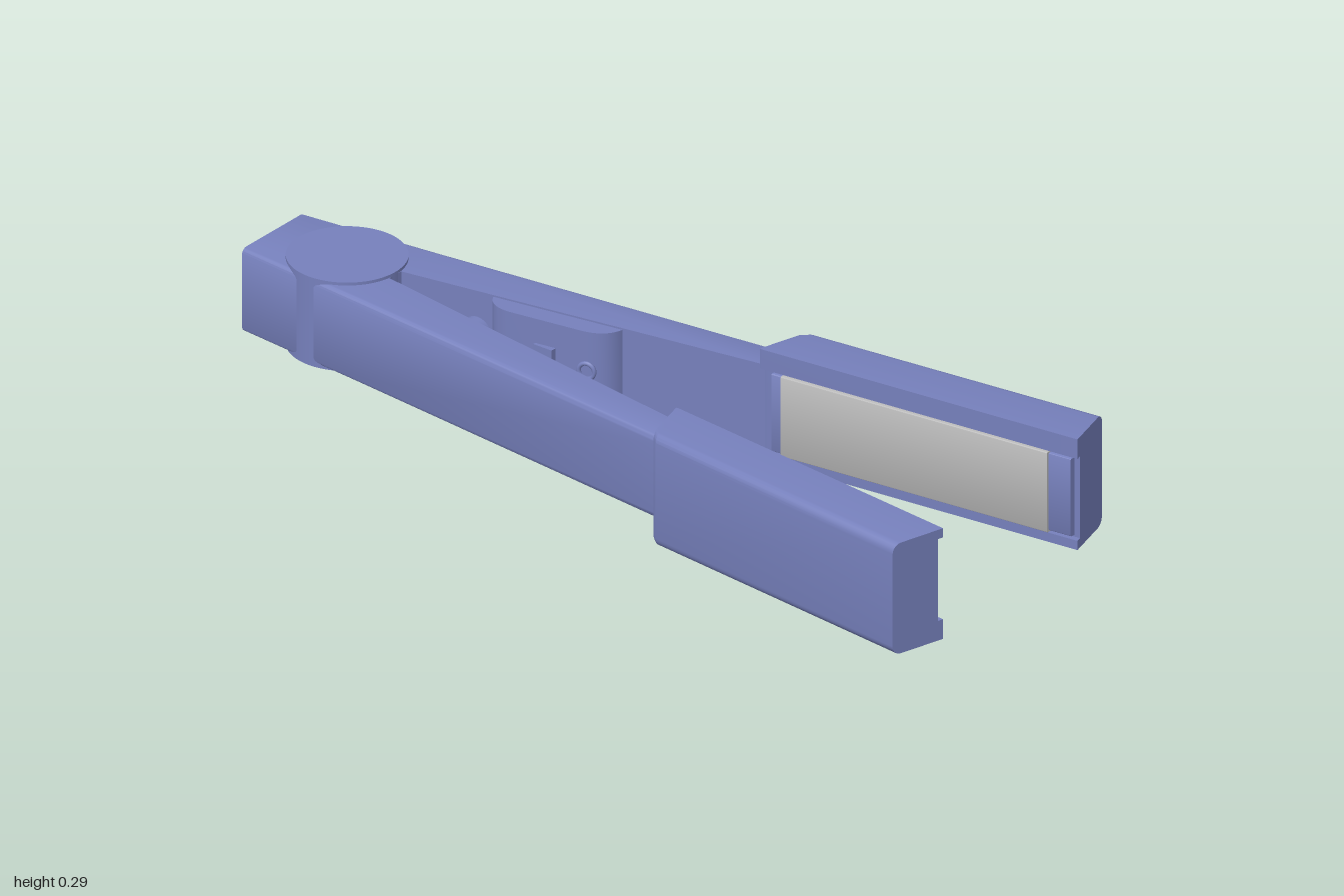
import * as THREE from 'three';
import { toCreasedNormals } from 'three/addons/utils/BufferGeometryUtils.js';

const blue = new THREE.MeshStandardMaterial({ name: 'blue plastic', color: 0x7680bc });
const grey = new THREE.MeshStandardMaterial({ name: 'grey plate', color: 0xb8b8b8 });

// Cross-section in (distance inward from outer face, height); outer corners rounded
function profile(width, y0, y1, r, notch) {
  const pts = [[width, y0]];
  for (const [cy, start] of [[y0 + r, -Math.PI / 2], [y1 - r, 0]]) {
    for (let i = 0; i <= 5; i++) {
      const a = start + (i / 5) * Math.PI / 2;
      pts.push([r - r * Math.cos(a), cy + r * Math.sin(a)]);
    }
  }
  pts.push([width, y1]);
  if (notch) {
    const d = width - notch.depth;
    pts.push([width, notch.y1], [d, notch.y1], [d, notch.y0], [width, notch.y0]);
  }
  return pts;
}

// Loft between sections { inner: [x, z], outer: [x, z], y0, y1 }; side = +1 front, -1 back
function loft(sections, side, r, notch) {
  const pos = [];
  const rings = sections.map(({ inner, outer, y0, y1 }) => {
    const dx = inner[0] - outer[0], dz = inner[1] - outer[1];
    const w = Math.hypot(dx, dz);
    const flat = profile(w, y0, y1, r, notch);
    return {
      flat,
      pts: flat.map(([d, y]) => [outer[0] + dx * d / w, y, side * (outer[1] + dz * d / w)]),
    };
  });
  const tri = (a, b, c) => (side > 0 ? pos.push(...a, ...b, ...c) : pos.push(...a, ...c, ...b));
  for (let i = 0; i < rings.length - 1; i++) {
    const p = rings[i].pts, q = rings[i + 1].pts;
    for (let j = 0; j < p.length; j++) {
      const k = (j + 1) % p.length;
      tri(p[j], q[k], p[k]);
      tri(p[j], q[j], q[k]);
    }
  }
  const cap = (ring, flip) => {
    const contour = ring.flat.map(([d, y]) => new THREE.Vector2(-d, y));
    for (const [a, b, c] of THREE.ShapeUtils.triangulateShape(contour, [])) {
      if (flip) tri(ring.pts[a], ring.pts[c], ring.pts[b]);
      else tri(ring.pts[a], ring.pts[b], ring.pts[c]);
    }
  };
  cap(rings[0], false);
  cap(rings[rings.length - 1], true);
  const g = new THREE.BufferGeometry();
  g.setAttribute('position', new THREE.Float32BufferAttribute(pos, 3));
  return toCreasedNormals(g, 0.6);
}

export function createModel() {
  const model = new THREE.Group();
  const add = (parent, name, geometry, material, x = 0, y = 0, z = 0) => {
    const mesh = new THREE.Mesh(geometry, material);
    mesh.name = name;
    mesh.position.set(x, y, z);
    parent.add(mesh);
    return mesh;
  };

  for (const side of [1, -1]) {
    const arm = new THREE.Group();
    arm.name = side > 0 ? 'frontArm' : 'backArm';
    model.add(arm);

    // Tapering handle
    const h = { y0: 0.045, y1: 0.245 };
    add(arm, 'handle', loft([
      { inner: [-1, 0], outer: [-1, 0.108], ...h },
      { inner: [-0.67, 0], outer: [-0.67, 0.143], ...h },
      { inner: [-0.669, 0.02], outer: [-0.669, 0.143], ...h },
      { inner: [0.24, 0.165], outer: [0.27, 0.249], ...h },
    ], side, 0.015), blue);

    // Wider head with a channel in its inner face
    const y = side > 0 ? { y0: 0, y1: 0.265 } : { y0: 0.025, y1: 0.29 };
    add(arm, 'head', loft([
      { inner: [0.205, 0.144], outer: [0.238, 0.264], ...y },
      { inner: [0.212, 0.143], outer: [0.255, 0.278], ...y },
      { inner: [0.997, 0.231], outer: [0.962, 0.36], ...y },
    ], side, 0.022, { y0: 0.047, y1: 0.243, depth: 0.014 }), blue);

    // Frame and heating plate lying in the channel
    const slab = (x0, x1, out, depth, y0, y1) => {
      const zAt = (x) => 0.143 + (x - 0.212) * 0.1121;
      return loft([x0, x1].map((x) => ({
        outer: [x, zAt(x) - out], inner: [x, zAt(x) + depth], y0, y1,
      })), -side, 0.004);
    };
    // The slab's rounded side faces the other arm, so its section is mirrored
    const flipZ = (g) => g.applyMatrix4(new THREE.Matrix4().makeScale(1, 1, -1));
    const fixWinding = (g) => {
      const p = g.attributes.position.array;
      for (let i = 0; i < p.length; i += 9) {
        for (let k = 0; k < 3; k++) [p[i + 3 + k], p[i + 6 + k]] = [p[i + 6 + k], p[i + 3 + k]];
      }
      g.deleteAttribute('normal');
      return toCreasedNormals(g, 0.6);
    };
    const place = (g) => fixWinding(fixWinding(flipZ(g)));
    add(arm, 'plateFrame', place(slab(0.235, 0.98, 0.0, 0.02, 0.052, 0.238)), blue);
    add(arm, 'heatingPlate', place(slab(0.262, 0.925, 0.006, 0.02, 0.049, 0.241)), grey);
  }

  // Round hinge
  add(model, 'hinge', new THREE.CylinderGeometry(0.131, 0.131, 0.212, 64), blue, -0.8, 0.146, 0);

  // Rounded control housing on the back arm's inner face
  const s = new THREE.Shape();
  s.moveTo(-0.45, 0.1);
  s.lineTo(-0.45, 0.062);
  s.quadraticCurveTo(-0.435, 0.018, -0.38, 0.021);
  s.lineTo(-0.2, 0.048);
  s.quadraticCurveTo(-0.14, 0.06, -0.136, 0.112);
  s.lineTo(-0.16, 0.15);
  s.closePath();
  const housing = new THREE.ExtrudeGeometry(s, { depth: 0.192, bevelEnabled: false, curveSegments: 10 });
  housing.rotateX(-Math.PI / 2);
  add(model, 'controlHousing', toCreasedNormals(housing, 0.6), blue, 0, 0.049, 0);

  // Ring button on the housing
  const button = new THREE.Group();
  button.name = 'ringButton';
  button.position.set(-0.19, 0.148, -0.049);
  button.rotation.y = 0.25;
  add(button, 'buttonRing', new THREE.TorusGeometry(0.018, 0.005, 10, 32), blue);
  model.add(button);
  add(model, 'switchTab', new THREE.BoxGeometry(0.05, 0.072, 0.02), blue, -0.29, 0.147, -0.034);

  // Stop and rib between the arms
  const stop = add(model, 'armStop', new THREE.CylinderGeometry(0.04, 0.04, 0.1, 32), blue, -0.482, 0.146, 0.005);
  stop.rotation.x = Math.PI / 2;
  add(model, 'stopRib', new THREE.BoxGeometry(0.21, 0.025, 0.06), blue, -0.565, 0.147, 0);
  return model;
}
